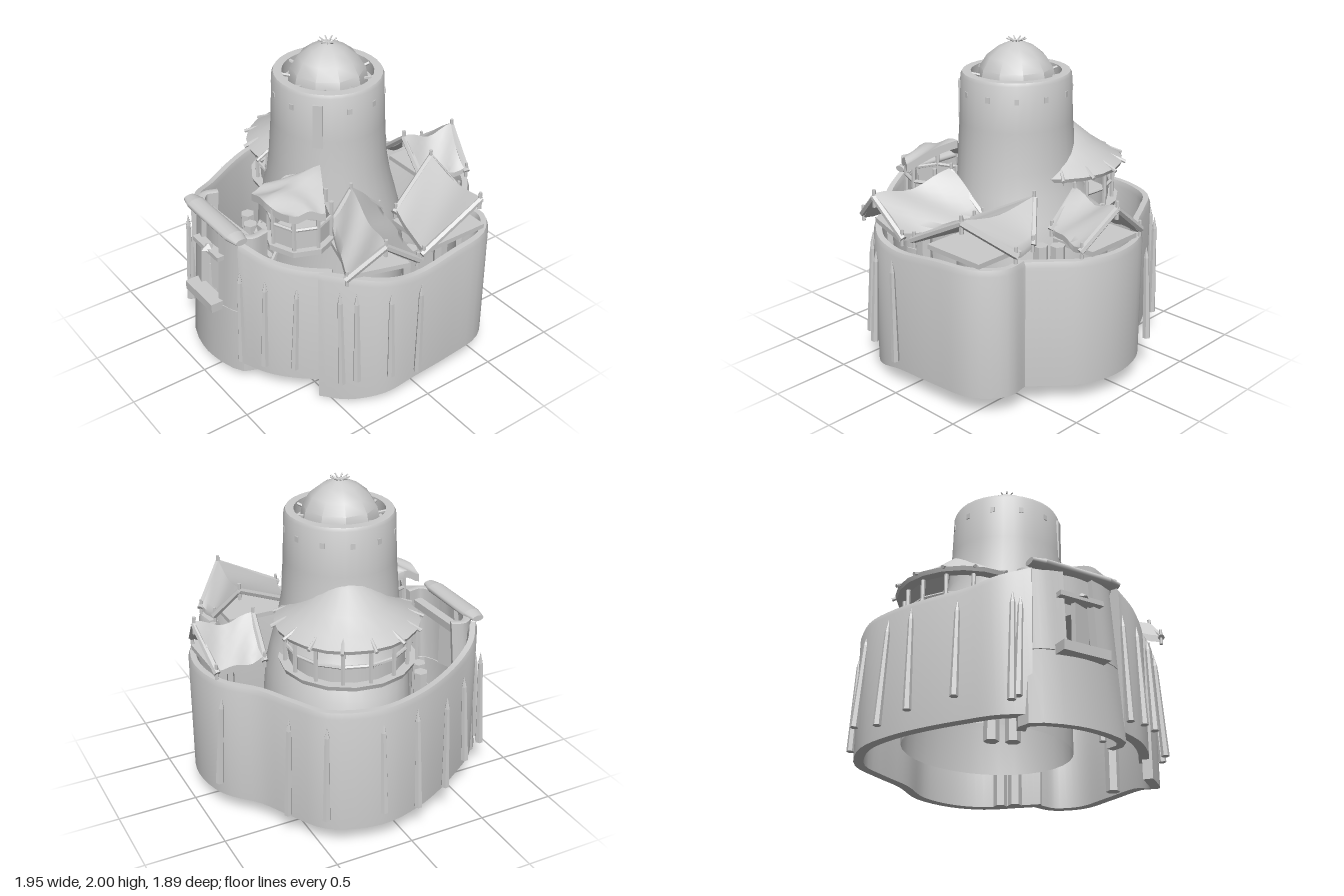
import * as THREE from 'three';
import { toCreasedNormals } from 'three/addons/utils/BufferGeometryUtils.js';

const mat = new THREE.MeshStandardMaterial({ color: 0xcccccc, side: THREE.DoubleSide });
const V = (x, y, z) => new THREE.Vector3(x, y, z);

export function createModel() {
  const root = new THREE.Group();

  const add = (name, geo, parent = root) => {
    const m = new THREE.Mesh(geo, mat);
    m.name = name;
    parent.add(m);
    return m;
  };
  const group = (name, x = 0, y = 0, z = 0) => {
    const g = new THREE.Group();
    g.name = name;
    g.position.set(x, y, z);
    root.add(g);
    return g;
  };
  const box = (name, w, h, d, x, y, z, parent) => {
    const m = add(name, new THREE.BoxGeometry(w, h, d), parent);
    m.position.set(x, y, z);
    return m;
  };
  // Round pole between two points
  const pole = (name, a, b, r0, r1, parent, sides = 6) => {
    const g = new THREE.CylinderGeometry(r1, r0, a.distanceTo(b), sides);
    const m = add(name, toCreasedNormals(g, 0.7), parent);
    m.position.copy(a).lerp(b, 0.5);
    m.quaternion.setFromUnitVectors(V(0, 1, 0), b.clone().sub(a).normalize());
    return m;
  };
  // Skin over a row of closed loops
  const loft = (rings, crease = 0.6) => {
    const n = rings[0].length, index = [];
    for (let i = 0; i < rings.length - 1; i++) {
      for (let j = 0; j < n; j++) {
        const a = i * n + j, b = i * n + (j + 1) % n;
        index.push(a, a + n, b, b, a + n, b + n);
      }
    }
    const g = new THREE.BufferGeometry().setFromPoints(rings.flat());
    g.setIndex(index);
    return toCreasedNormals(g, crease);
  };
  // Wall with rounded lip along points [x, z, bottom, top]
  const wall = (pts, thick, steps, lip = 0.035) => {
    const top = new THREE.CatmullRomCurve3(pts.map(p => V(p[0], p[3], p[1])));
    const low = new THREE.CatmullRomCurve3(pts.map(p => V(p[0], p[2], p[1])));
    const rings = [];
    for (let i = 0; i <= steps; i++) {
      const p = top.getPoint(i / steps), t = top.getTangent(i / steps);
      const yb = low.getPoint(i / steps).y;
      const s = V(-t.z, 0, t.x).normalize().multiplyScalar(thick / 2);
      rings.push([[1, yb], [1, p.y - lip], [0.6, p.y], [-0.6, p.y], [-1, p.y - lip], [-1, yb]]
        .map(([k, y]) => V(p.x + s.x * k, y, p.z + s.z * k)));
    }
    const cap = r => r.map(() => r.reduce((c, p) => c.add(p), V(0, 0, 0)).divideScalar(r.length));
    return loft([cap(rings[0]), ...rings, cap(rings[steps])]);
  };

  // Outer wall in three sections
  add('mainWall', wall([
    [-0.35, 0.79, 0.12, 1.0], [-0.5, 0.68, 0.12, 0.96], [-0.61, 0.53, 0.12, 0.92], [-0.74, 0.32, 0.12, 0.91],
    [-0.84, 0.1, 0.12, 0.91], [-0.89, -0.16, 0.12, 0.91], [-0.79, -0.45, 0.12, 0.91], [-0.59, -0.58, 0.12, 0.91],
    [-0.385, -0.69, 0.12, 0.91], [-0.18, -0.86, 0.12, 0.91], [0.07, -0.91, 0.12, 0.91], [0.29, -0.85, 0.12, 0.91],
    [0.45, -0.71, 0.12, 0.91], [0.58, -0.59, 0.12, 0.91]], 0.06, 52));
  add('sideWall', wall([
    [0.56, -0.62, 0.12, 0.92], [0.7, -0.63, 0.12, 0.92], [0.84, -0.5, 0.12, 0.92], [0.88, -0.25, 0.12, 0.91],
    [0.89, 0.05, 0.11, 0.88], [0.86, 0.24, 0.06, 0.9], [0.74, 0.41, 0.01, 0.92], [0.6, 0.53, 0.0, 0.92]], 0.06, 28));
  add('frontWall', wall([
    [0.63, 0.46, 0.12, 0.92], [0.51, 0.61, 0.12, 0.93], [0.37, 0.73, 0.12, 0.96], [0.2, 0.81, 0.12, 1.01]], 0.06, 14));

  // Pointed stakes leaning on the wall
  const stakes = group('wallStakes');
  [[-0.65, -0.65], [-0.84, -0.49], [-0.96, -0.17], [-0.93, 0.08], [-0.86, 0.31], [-0.7, 0.55], [-0.49, 0.8],
    [-0.45, 0.8], [-0.24, -0.92], [0.24, 0.86], [0.39, 0.79], [0.55, 0.68], [0.77, 0.49], [0.83, 0.42],
    [0.94, 0.25], [0.95, 0.05]].forEach(([x, z], i) => {
    const k = 0.98 - 0.008 * (i % 3), lean = 0.012 * ((i % 4) - 1.5);
    const a = V(x, 0.18 + 0.03 * (i % 3), z), b = V(x * k + lean, 0.76, z * k);
    pole('stake', a, b, 0.025, 0.016, stakes);
    pole('stakeTip', b, b.clone().lerp(a, -0.13), 0.016, 0.001, stakes);
  });

  // Gatehouse: curved front with an opening, leaning inward
  const gate = group('gatehouse');
  const panel = (name, pts, yb, yt, back = 0) => {
    const g = wall(pts.map(([x, z]) => [x, z - back, yb, yt]), 0.05, 12, 0.004), p = g.attributes.position;
    for (let i = 0; i < p.count; i++) {
      const y = p.getY(i);
      p.setX(i, -0.08 + (p.getX(i) + 0.08) * (1 - 0.08 * y));
      p.setZ(i, p.getZ(i) - 0.07 * y);
    }
    add(name, g, gate);
  };
  const left = [[-0.37, 0.7], [-0.395, 0.78], [-0.32, 0.85], [-0.18, 0.89]];
  const right = [[0.02, 0.89], [0.14, 0.86], [0.225, 0.8], [0.215, 0.7]];
  panel('lowerFront', [...left, [-0.08, 0.9], ...right], 0.06, 0.5);
  panel('leftPier', left, 0.5, 1.03);
  panel('rightPier', right, 0.5, 1.03);
  panel('upperPanel', [[-0.18, 0.89], [-0.08, 0.9], [0.02, 0.89]], 0.85, 1.03, 0.03);
  for (const [a, b] of [[-0.38, -0.3], [-0.3, 0.14], [0.14, 0.22]]) {
    const r = x => (Math.abs(x + 0.08) > 0.25 ? 0.04 : 0.06);
    const roll = pole('topRoll', V(a, 1.03, 0.81), V(b, 1.03, 0.81), r(a), r(b), gate, 12);
    roll.scale.x = 0.5;
  }
  box('sill', 0.31, 0.06, 0.1, -0.095, 0.5, 0.9, gate);
  box('lintel', 0.29, 0.03, 0.06, -0.08, 0.845, 0.86, gate);
  pole('lintelPeak', V(-0.07, 0.85, 0.87), V(-0.07, 0.885, 0.87), 0.05, 0.002, gate, 4);
  box('door', 0.13, 0.3, 0.03, -0.045, 0.68, 0.81, gate).rotation.y = 0.35;
  box('innerBeam', 0.58, 0.05, 0.06, -0.08, 0.93, 0.71, gate).rotation.y = 0.04;
  for (const x of [-0.33, 0.17]) pole('innerPost', V(x, 0.1, 0.69), V(x, 0.93, 0.69), 0.022, 0.022, gate);

  // Stairs behind the gate
  const stairs = group('stairs');
  for (let i = 0; i < 7; i++) box('step', 0.23, 0.04, 0.05, -0.1, 0.45 + i * 0.05, 0.58 - i * 0.028, stairs);
  for (const x of [-0.22, 0.02]) pole('stairRail', V(x, 0.42, 0.6), V(x, 0.78, 0.4), 0.015, 0.015, stairs);

  // Tower flaring into a broad base, parapet and deck: [y, x, z, rx, rz]
  const levels = [[0.22, -0.13, -0.07, 0.54, 0.45], [0.5, -0.13, -0.07, 0.54, 0.45], [0.8, -0.12, -0.06, 0.51, 0.43],
    [0.95, -0.08, -0.03, 0.45, 0.41], [1.1, -0.06, -0.01, 0.41, 0.38], [1.25, -0.05, 0, 0.375, 0.36],
    [1.5, -0.045, 0, 0.355, 0.345], [1.78, -0.045, 0, 0.345, 0.335], [1.8, -0.045, 0, 0.335, 0.325],
    [1.8, -0.045, 0, 0.28, 0.275], [1.72, -0.045, 0, 0.28, 0.275], [1.72, -0.045, 0, 0, 0]];
  add('tower', loft(levels.map(([y, cx, cz, rx, rz]) => Array.from({ length: 32 }, (_, i) => {
    const a = i / 32 * Math.PI * 2;
    return V(cx + rx * Math.cos(a), y, cz + rz * Math.sin(a));
  })), 0.7));

  // Dome, finial, struts and tower windows
  const crown = group('towerCrown', -0.045, 0, 0);
  const dome = [[0.24, 1.71], [0.238, 1.76], [0.225, 1.82], [0.18, 1.89], [0.11, 1.945], [0.04, 1.975], [0, 1.985]];
  add('dome', toCreasedNormals(new THREE.LatheGeometry(dome.map(p => new THREE.Vector2(...p)), 10), 0.6), crown);
  for (let i = 0; i < 9; i++) {
    const a = i / 9 * Math.PI * 2, c = Math.cos(a), s = Math.sin(a);
    pole('finialSpike', V(0, 1.97, 0), V(c * 0.06, 1.995, s * 0.06), 0.007, 0.004, crown, 5);
    pole('domeStrut', V(c * 0.22, 1.77, s * 0.22), V(c * 0.3, 1.79, s * 0.3), 0.01, 0.01, crown, 5);
  }
  for (let i = 0; i < 12; i++) {
    const a = (i + 0.5) / 12 * Math.PI * 2;
    box('window', 0.028, 0.035, 0.02, Math.sin(a) * 0.342, 1.69, Math.cos(a) * 0.332, crown).rotation.y = a;
  }
  box('tallSlit', 0.06, 0.28, 0.02, 0.24, 1.6, 0.245, crown).rotation.y = 0.77;

  // Round hut against the tower, open towards the front right
  const hut = group('roundHut', -0.3, 0, -0.08);
  const roof = [[0.36, 1.18], [0.43, 1.175], [0.44, 1.2], [0.36, 1.25], [0.25, 1.325], [0.12, 1.435], [0, 1.5]];
  const arc = [Math.PI * 0.5, Math.PI * 1.52];
  add('hutRoof', toCreasedNormals(new THREE.LatheGeometry(roof.map(p => new THREE.Vector2(...p)), 16, ...arc), 0.7), hut);
  const floorShape = [[0, 0.925], [0.41, 0.925], [0.42, 0.955], [0, 0.955]].map(p => new THREE.Vector2(...p));
  add('hutFloor', toCreasedNormals(new THREE.LatheGeometry(floorShape, 12, ...arc), 0.6), hut);
  add('hutPanels', new THREE.CylinderGeometry(0.36, 0.36, 0.1, 12, 1, true, ...arc), hut).position.y = 1.0;
  let last = null;
  for (let i = 0; i <= 11; i++) {
    const a = arc[0] + arc[1] * i / 11, c = Math.sin(a), s = Math.cos(a), knot = V(c * 0.37, 1.06, s * 0.37);
    pole('hutPost', V(c * 0.38, 0.94, s * 0.38), V(c * 0.38, 1.22, s * 0.38), 0.014, 0.014, hut);
    pole('rafterEnd', V(c * 0.36, 1.235, s * 0.36), V(c * 0.46, 1.19, s * 0.46), 0.012, 0.012, hut);
    if (last) pole('hutRail', last, knot, 0.012, 0.012, hut);
    last = knot;
  }

  // Sagging hide over a ridge; eaveA, ridge and eaveB are [start, end] points
  const hide = (name, eaveA, ridge, eaveB, thick, wobble, sag = 0.04) => {
    const g = group(name), geo = new THREE.BoxGeometry(1, 1, 1, 12, 1, 8), p = geo.attributes.position;
    const [A, R, B] = [eaveA, ridge, eaveB].map(e => e.map(q => V(...q)));
    for (let i = 0; i < p.count; i++) {
      const u = p.getX(i) * 2, v = p.getZ(i) + 0.5, k = Math.abs(u), E = u < 0 ? A : B;
      const q = R[0].clone().lerp(R[1], v).lerp(E[0].clone().lerp(E[1], v), k);
      q.y += p.getY(i) * thick - sag * Math.sin(v * Math.PI) * (1 - k * 0.5) + wobble * Math.sin(v * 9 + u * 4);
      p.setXYZ(i, q.x, q.y, q.z);
    }
    geo.deleteAttribute('normal');
    geo.deleteAttribute('uv');
    add('hide', toCreasedNormals(geo, 0.8), g);
    return g;
  };
  // Tent: hide on gable poles tied to short pegs
  const tent = (name, eaveA, ridge, eaveB, thick, wobble) => {
    const g = hide(name, eaveA, ridge, eaveB, thick, wobble), R = ridge.map(q => V(...q));
    for (const i of [0, 1]) {
      for (const e of [eaveA, eaveB]) {
        const E = V(...e[i]);
        pole('gablePole', E.clone().lerp(R[i], -0.04), E.clone().lerp(R[i], 1.02), 0.022, 0.02, g);
        pole('peg', E.clone().setY(E.y - 0.05), E.clone().setY(E.y + 0.05), 0.012, 0.01, g);
      }
      pole('ridgePeg', R[i].clone().setY(R[i].y - 0.06), R[i].clone().setY(R[i].y + 0.05), 0.013, 0.011, g);
    }
  };
  tent('sideTent', [[0.36, 1.02, 0.27], [0.8, 0.975, 0.48]], [[0.38, 1.22, 0.14], [0.88, 1.15, 0.27]],
    [[0.35, 0.99, -0.1], [0.88, 0.965, 0.03]], 0.045, 0.012);
  tent('cornerTent', [[0.46, 1.01, -0.14], [0.85, 0.965, -0.04]], [[0.34, 1.2, -0.51], [0.86, 1.18, -0.45]],
    [[0.48, 1.0, -0.63], [0.65, 0.99, -0.66]], 0.035, 0.003);
  tent('backTent', [[-0.2, 0.99, -0.58], [-0.18, 0.97, -0.88]], [[0.03, 1.18, -0.55], [0.08, 1.17, -0.91]],
    [[0.22, 0.99, -0.54], [0.31, 0.97, -0.85]], 0.035, 0.013);

  // Front pavilion: mounded roof, floor, posts and railing panels
  const porch = hide('frontPavilion', [[0.06, 1.22, 0.39], [0.04, 1.19, 0.62]], [[0.22, 1.33, 0.25], [0.2, 1.2, 0.63]],
    [[0.5, 1.21, 0.41], [0.39, 1.19, 0.59]], 0.05, 0.012, -0.015);
  const floor = add('porchFloor', toCreasedNormals(new THREE.CylinderGeometry(0.22, 0.22, 0.035, 8), 0.5), porch);
  floor.position.set(0.25, 0.945, 0.42);
  const sides = add('porchPanels', toCreasedNormals(new THREE.CylinderGeometry(0.18, 0.18, 0.13, 8, 1, true), 0.5), porch);
  sides.position.set(0.25, 1.025, 0.42);
  const ring = Array.from({ length: 9 }, (_, i) => V(0.25 + 0.19 * Math.sin(i * Math.PI / 4), 0.96, 0.42 + 0.19 * Math.cos(i * Math.PI / 4)));
  const up = V(0, 0.14, 0);
  for (let i = 0; i < 8; i++) {
    pole('porchPost', ring[i], ring[i].clone().setY(1.2), 0.014, 0.014, porch);
    pole('porchRail', ring[i].clone().add(up), ring[i + 1].clone().add(up), 0.012, 0.012, porch);
  }

  // Plank platforms under the tents: [x, z, width, depth, turn]
  const platforms = group('platforms');
  [[0.62, 0.19, 0.4, 0.36, -0.3], [0.64, -0.33, 0.36, 0.42, 0], [0.05, -0.73, 0.4, 0.3, 0]].forEach(([x, z, w, d, r]) => {
    box('platform', w, 0.03, d, x, 0.935, z, platforms).rotation.y = r;
  });

  // Hexagonal columns carrying the platforms
  const columns = group('columns');
  [[-0.38, 0.4, 0.75], [-0.27, 0.45, 0.75], [0.31, -0.67, 0.95], [0.38, -0.6, 0.95], [0.75, -0.02, 0.95]]
    .forEach(([x, z, top]) => pole('column', V(x, 0.09, z), V(x, top, z), 0.045, 0.045, columns));

  return root;
}
